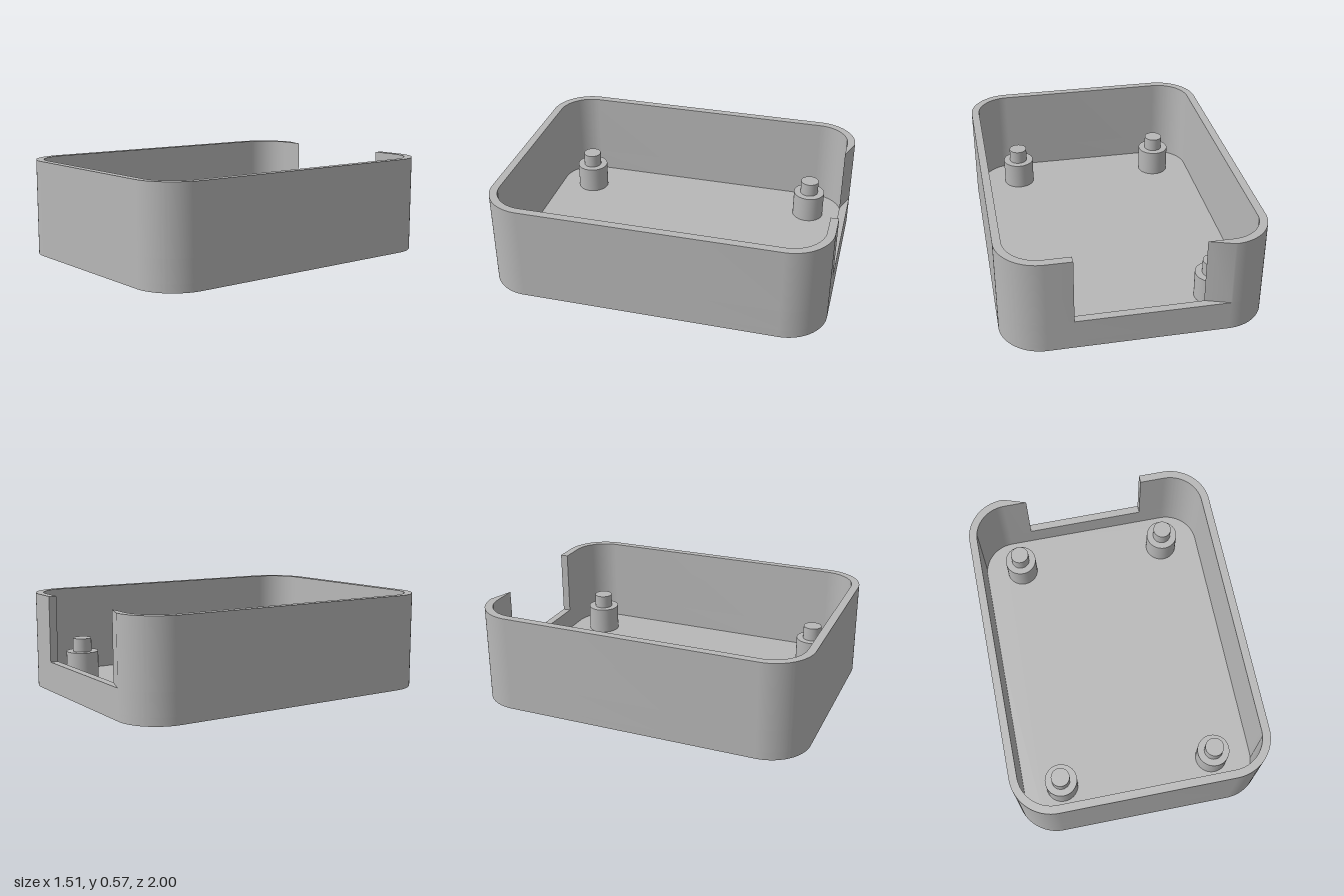
import * as THREE from 'three';
import { toCreasedNormals } from 'three/addons/utils/BufferGeometryUtils.js';

const W = 0.755, L = 1, H = 0.575;       // half width, half length, height
const R = 0.245, WALL = 0.047, FLOOR = 0.047;
const NOTCH_L = 0.36, NOTCH_R = -0.37, NOTCH_Y = 0.18;

// Rounded-corner centres, counterclockwise from the back right corner
const corners = [[-1, 1, 0.5], [-1, -1, 1], [1, -1, 1.5], [1, 1, 0]];

function addCorners(path, inset, reverse = false) {
  const r = R - inset;
  const list = reverse ? [...corners].reverse() : corners;
  for (const [sx, sy, a] of list) {
    const a0 = a * Math.PI, a1 = a0 + Math.PI / 2;
    path.absarc(sx * (W - R), sy * (L - R), r, reverse ? a1 : a0, reverse ? a0 : a1, reverse);
  }
  return path;
}

// Extrudes a plan outline upwards from y0 to y1 (plan y points to the back)
function slab(shape, y0, y1) {
  const geo = new THREE.ExtrudeGeometry(shape, { depth: y1 - y0, bevelEnabled: false, curveSegments: 20 });
  geo.rotateX(-Math.PI / 2).translate(0, y0, 0);
  return toCreasedNormals(geo, 0.6);
}

export function createModel() {
  const group = new THREE.Group();
  group.name = 'enclosureTray';
  const grey = new THREE.MeshStandardMaterial({ color: 0xb8b8b8 });
  grey.name = 'grey plastic';

  const add = (name, geo, x = 0, y = 0, z = 0) => {
    const mesh = new THREE.Mesh(geo, grey);
    mesh.name = name;
    mesh.position.set(x, y, z);
    group.add(mesh);
  };

  // Floor plate
  const outline = addCorners(new THREE.Shape(), 0);
  outline.closePath();
  add('floor', slab(outline, 0, FLOOR));

  // Continuous wall below the notch
  const ring = addCorners(new THREE.Shape(), 0);
  ring.closePath();
  const hole = addCorners(new THREE.Path(), WALL);
  hole.closePath();
  ring.holes.push(hole);
  add('lowerWall', slab(ring, FLOOR, NOTCH_Y));

  // Upper wall, open at the back for the notch
  const upper = new THREE.Shape();
  upper.moveTo(NOTCH_R, L);
  addCorners(upper, 0);
  upper.lineTo(NOTCH_L, L);
  upper.lineTo(NOTCH_L, L - WALL);
  addCorners(upper, WALL, true);
  upper.lineTo(NOTCH_R, L - WALL);
  upper.closePath();
  add('upperWall', slab(upper, NOTCH_Y, H));

  // Stepped mounting posts
  const post = new THREE.CylinderGeometry(0.097, 0.097, 0.163, 40);
  const pin = new THREE.CylinderGeometry(0.056, 0.056, 0.082, 32);
  for (const x of [-0.473, 0.467]) {
    for (const z of [-0.743, 0.738]) {
      add('mountingPost', post, x, FLOOR + 0.0815, z);
      add('locatingPin', pin, x, FLOOR + 0.163 + 0.041, z);
    }
  }
  return group;
}
